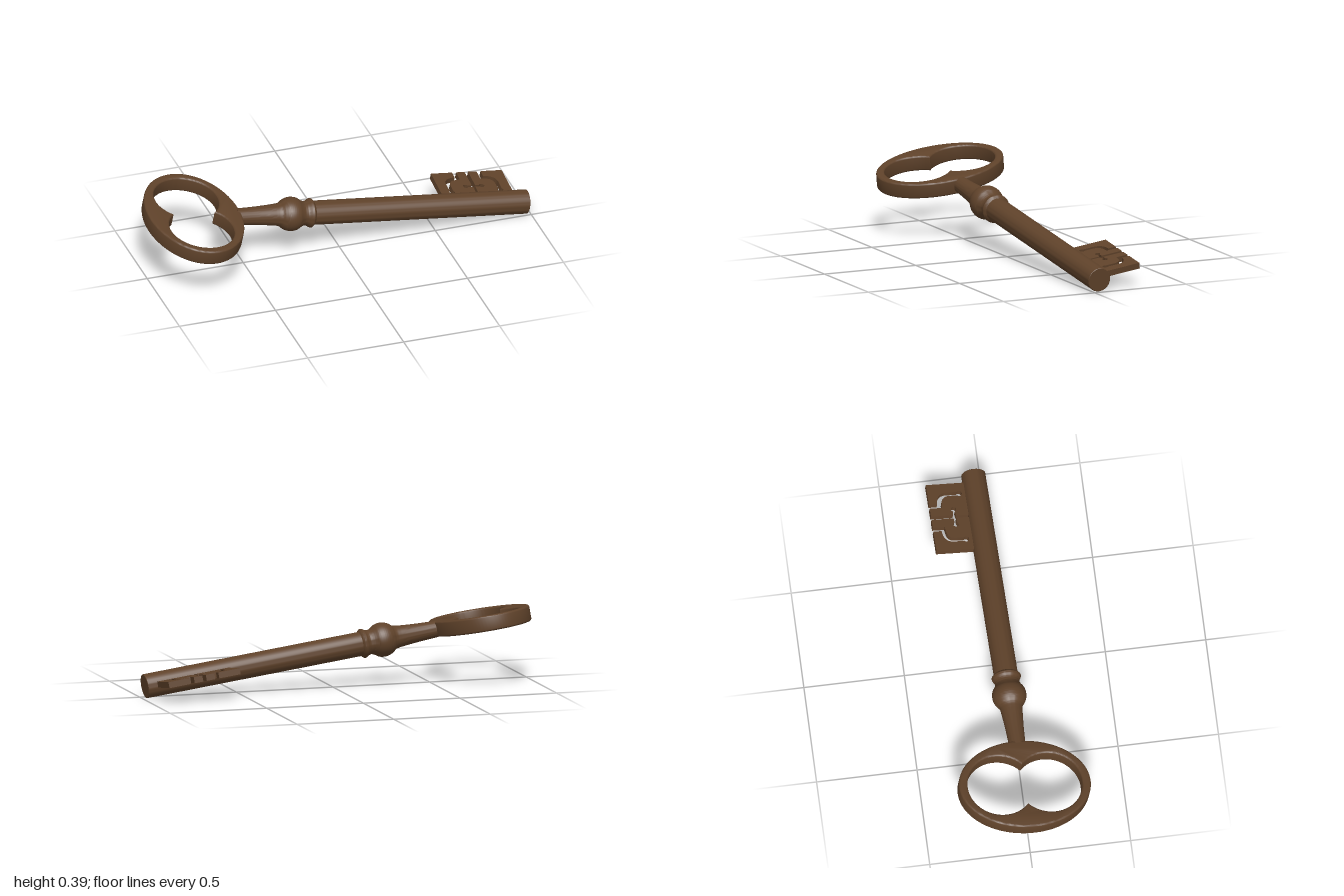
import * as THREE from 'three';
import { toCreasedNormals } from 'three/addons/utils/BufferGeometryUtils.js';

const material = new THREE.MeshStandardMaterial({ color: 0x5f422a });

function part(name, geometry, crease = 0.7) {
  const mesh = new THREE.Mesh(toCreasedNormals(geometry, crease), material);
  mesh.name = name;
  return mesh;
}

// Extrudes a plan shape into a plate lying flat, centred on y = 0
function plate(shape, thickness, bevel) {
  const geometry = new THREE.ExtrudeGeometry(shape, {
    depth: thickness - 2 * bevel, curveSegments: 48,
    bevelEnabled: bevel > 0, bevelThickness: bevel, bevelSize: bevel, bevelOffset: -bevel, bevelSegments: 3,
  });
  geometry.translate(0, 0, bevel - thickness / 2);
  return geometry.rotateX(-Math.PI / 2);
}

// Oval handle with an opening made of two overlapping circles
function bow() {
  const shape = new THREE.Shape().absellipse(0, 0, 0.242, 0.33, 0, Math.PI * 2);
  const r = 0.164, c = 0.123;
  const a = Math.asin(c / r);
  const hole = new THREE.Path();
  hole.absarc(0, c, r, -a, Math.PI + a, false);
  hole.absarc(0, -c, r, Math.PI - a, Math.PI * 2 + a, false);
  shape.holes.push(hole);
  const mesh = part('bow', plate(shape, 0.077, 0.009));
  mesh.position.x = -0.769;
  return mesh;
}

// Turned neck, bulb and collar
function neck() {
  const curve = new THREE.SplineCurve([
    [0.041, -0.54], [0.045, -0.45], [0.052, -0.36], [0.058, -0.318], [0.072, -0.297], [0.082, -0.275],
    [0.085, -0.25], [0.080, -0.225], [0.068, -0.205], [0.061, -0.188],
    [0.063, -0.172], [0.071, -0.158], [0.072, -0.147], [0.060, -0.136],
  ].map(([r, x]) => new THREE.Vector2(r, x)));
  const points = [new THREE.Vector2(0, -0.54), ...curve.getPoints(70)];
  return part('neck', new THREE.LatheGeometry(points, 48).rotateZ(-Math.PI / 2));
}

function shaft() {
  const points = [[0.06, -0.14], [0.06, 0.992], [0.058, 0.994], [0, 0.994]].map(([r, x]) => new THREE.Vector2(r, x));
  return part('shaft', new THREE.LatheGeometry(points, 48).rotateZ(-Math.PI / 2));
}

// One half of the bit: half of the centre slot, then the curved side slot
function bitOutline() {
  const s = new THREE.Shape();
  s.moveTo(0.006, 0.03);
  s.lineTo(0.006, 0.122);
  s.lineTo(0.03, 0.124);
  s.absarc(0.042, 0.129, 0.013, -2.7, 2.7, false);
  s.lineTo(0.009, 0.136);
  s.lineTo(0.009, 0.247);
  s.lineTo(0.054, 0.247);
  s.lineTo(0.054, 0.187);
  s.lineTo(0.08, 0.184);
  s.quadraticCurveTo(0.118, 0.178, 0.118, 0.14);
  s.absarc(0.128, 0.089, 0.014, 2.3, 7.12, false);
  s.lineTo(0.138, 0.15);
  s.quadraticCurveTo(0.138, 0.203, 0.075, 0.206);
  s.lineTo(0.075, 0.247);
  s.lineTo(0.187, 0.247);
  s.lineTo(0.187, 0.03);
  s.closePath();
  return s.getPoints(12);
}

function bit() {
  const group = new THREE.Group();
  group.name = 'bit';
  const outline = bitOutline();
  for (const side of [1, -1]) {
    const shape = new THREE.Shape(outline.map((p) => new THREE.Vector2(p.x * side, p.y)));
    group.add(part(side > 0 ? 'outerBitHalf' : 'innerBitHalf', plate(shape, 0.03, 0)));
  }
  group.position.x = 0.757;
  return group;
}

export function createModel() {
  const key = new THREE.Group();
  key.name = 'key';
  key.add(bow(), neck(), shaft(), bit());

  // Rest the key at a slope: the tip touches the ground, the bow is raised and rolled
  const along = new THREE.Vector3(1.75, -0.237, -0.033).normalize();
  const across = new THREE.Vector3(0, -0.143, 0.99);
  across.addScaledVector(along, -across.dot(along)).normalize();
  const up = new THREE.Vector3().crossVectors(across, along);
  key.quaternion.setFromRotationMatrix(new THREE.Matrix4().makeBasis(along, up, across));
  key.position.set(0, 0.193, -0.0144);

  const model = new THREE.Group();
  model.add(key);
  return model;
}
